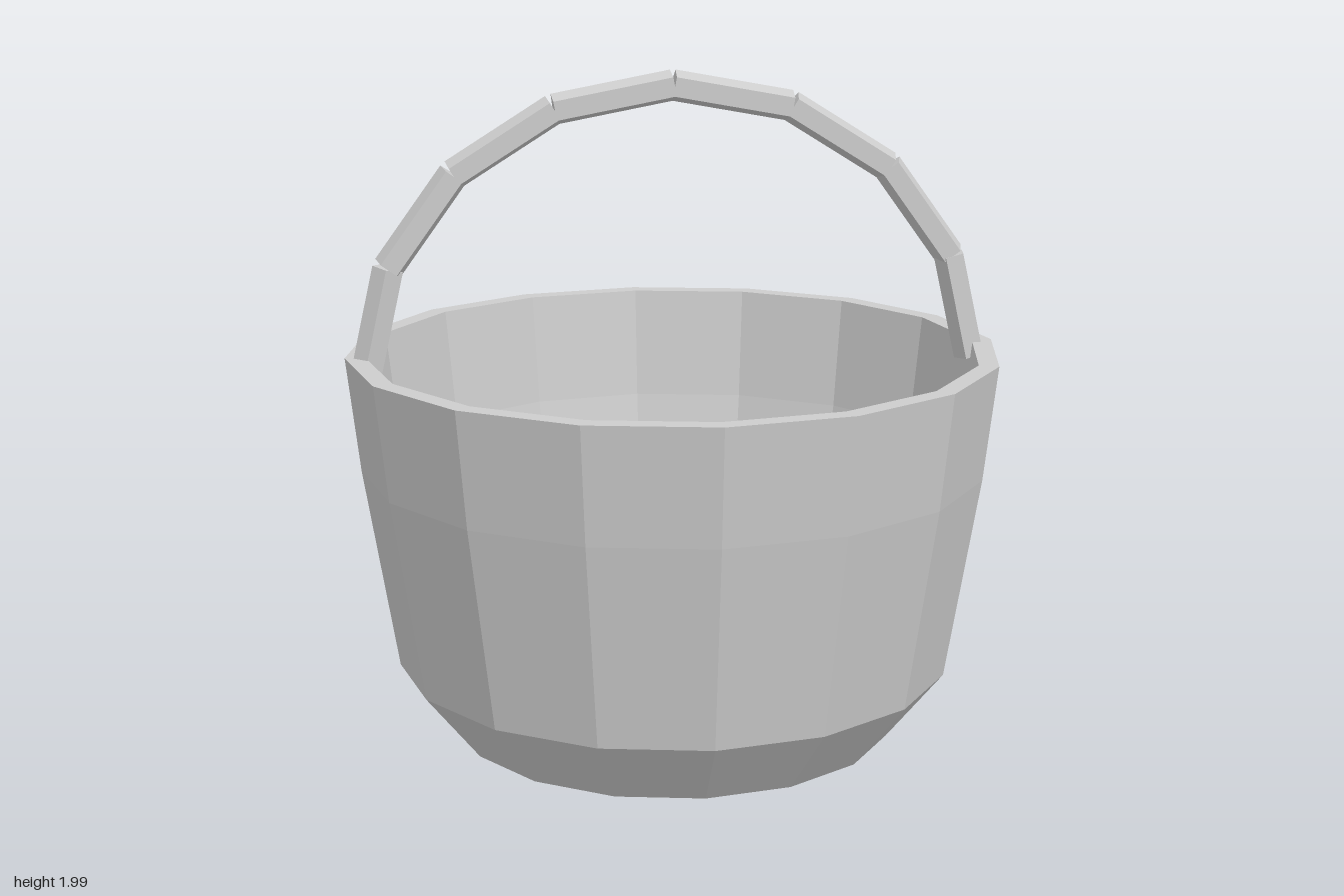
import * as THREE from 'three';

export function createModel() {
  const model = new THREE.Group();
  const grey = new THREE.MeshStandardMaterial({ color: 0xcccccc, flatShading: true });
  grey.name = 'plainGrey';

  // Hollow sixteen-sided tub: base, outer wall, rim, inner wall, floor
  const profile = [
    [0, 0], [0.665, 0], [0.835, 0.21], [0.935, 0.82], [0.975, 1.165],
    [0.915, 1.165], [0.875, 0.82], [0.755, 0.2], [0, 0.2],
  ].map(([r, y]) => new THREE.Vector2(r, y));
  const tub = new THREE.Mesh(new THREE.LatheGeometry(profile, 16), grey);
  tub.name = 'basketTub';
  model.add(tub);

  // Arched handle: straight five-sided rods meeting end to end
  const handle = new THREE.Group();
  handle.name = 'handle';
  const path = [[0, 1.95], [0.35, 1.885], [0.645, 1.7], [0.84, 1.43], [0.91, 1.12]];
  for (const side of [1, -1]) {
    for (let i = 0; i < path.length - 1; i++) {
      const [x0, y0] = path[i];
      const [x1, y1] = path[i + 1];
      const dx = (x1 - x0) * side;
      const dy = y1 - y0;
      const geometry = new THREE.CylinderGeometry(0.048, 0.048, Math.hypot(dx, dy), 5);
      // One edge points back; the end rods are turned a little
      const twist = i === 3 ? (side > 0 ? 0.15 : 0.45) : 0;
      geometry.rotateY(Math.PI + twist);
      const rod = new THREE.Mesh(geometry, grey);
      rod.name = 'handleSegment';
      rod.position.set(side * (x0 + x1) / 2, (y0 + y1) / 2, 0);
      rod.rotation.z = Math.atan2(dx, -dy);
      handle.add(rod);
    }
  }
  model.add(handle);
  return model;
}
